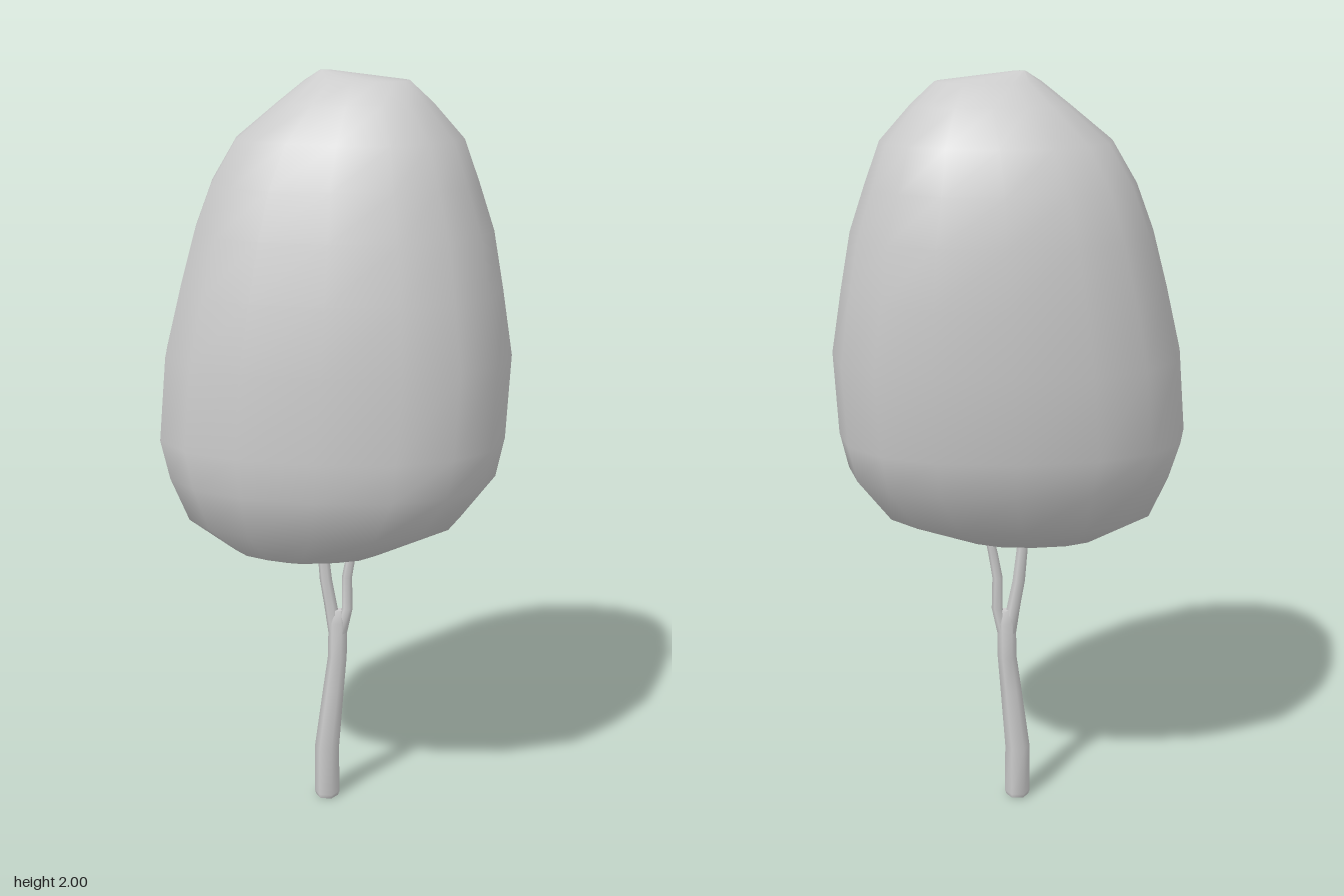
import * as THREE from 'three';

// Closed smooth skin over horizontal rings [y, xMin, xMax, zMin, zMax];
// power > 2 makes the rings squarer. A repeated ring gives a sharp rim.
function loft(name, rings, sides, power, material) {
  const pos = [], index = [];
  const soft = v => Math.sign(v) * Math.pow(Math.abs(v), 2 / power);
  for (const [y, x0, x1, z0, z1] of rings) {
    for (let i = 0; i < sides; i++) {
      const a = (i / sides) * Math.PI * 2;
      pos.push((x0 + x1) / 2 + (x1 - x0) / 2 * soft(Math.cos(a)), y,
        (z0 + z1) / 2 + (z1 - z0) / 2 * soft(Math.sin(a)));
    }
  }
  for (let r = 0; r < rings.length - 1; r++) {
    for (let i = 0; i < sides; i++) {
      const a = r * sides + i, b = r * sides + (i + 1) % sides;
      index.push(a, a + sides, b, b, a + sides, b + sides);
    }
  }
  // End caps
  const top = (rings.length - 1) * sides;
  for (let i = 1; i < sides - 1; i++) {
    index.push(0, i, i + 1, top, top + i + 1, top + i);
  }
  const geometry = new THREE.BufferGeometry();
  geometry.setAttribute('position', new THREE.Float32BufferAttribute(pos, 3));
  geometry.setIndex(index);
  geometry.computeVertexNormals();
  const mesh = new THREE.Mesh(geometry, material);
  mesh.name = name;
  return mesh;
}

// Tapered limb through points [x, y, z, radius], with flat ends
function limb(name, points, material) {
  const rings = points.map(([x, y, z, r]) => [y, x - r, x + r, z - r, z + r]);
  rings.unshift(rings[0]);
  rings.push(rings[rings.length - 1]);
  return loft(name, rings, 6, 2, material);
}

export function createModel() {
  const group = new THREE.Group();
  group.name = 'tree';
  const material = new THREE.MeshStandardMaterial({ color: 0xcccccc });

  // Egg-shaped crown, leaning slightly at top and bottom
  group.add(loft('crown', [
    [0.73, -0.14, -0.02, 0.05, 0.14],
    [0.76, -0.26, 0.14, -0.08, 0.22],
    [0.845, -0.39, 0.34, -0.23, 0.305],
    [0.96, -0.44, 0.43, -0.29, 0.35],
    [1.06, -0.468, 0.452, -0.325, 0.353],
    [1.28, -0.45, 0.464, -0.348, 0.355],
    [1.45, -0.41, 0.437, -0.345, 0.33],
    [1.6, -0.37, 0.41, -0.34, 0.305],
    [1.72, -0.325, 0.37, -0.31, 0.267],
    [1.83, -0.26, 0.33, -0.28, 0.23],
    [1.92, -0.15, 0.25, -0.2, 0.16],
    [1.975, -0.08, 0.19, -0.12, 0.09],
    [2.0, -0.04, -0.01, -0.03, 0.01],
  ], 16, 2.35, material));

  // Trunk with a slight bend, forking under the crown
  group.add(limb('trunk', [
    [-0.022, 0, 0, 0.031],
    [-0.022, 0.012, 0, 0.035],
    [-0.022, 0.15, 0, 0.034],
    [-0.004, 0.32, 0, 0.029],
    [0.007, 0.42, 0, 0.026],
    [0.008, 0.52, 0, 0.026],
    [0.01, 0.555, 0, 0.014],
  ], material));
  group.add(limb('rightBranch', [
    [0.003, 0.48, 0, 0.02],
    [-0.012, 0.57, 0, 0.018],
    [-0.025, 0.64, -0.002, 0.017],
    [-0.034, 0.73, -0.004, 0.015],
    [-0.04, 0.82, -0.005, 0.012],
  ], material));
  group.add(limb('leftBranch', [
    [0.014, 0.49, 0, 0.02],
    [0.034, 0.56, 0, 0.015],
    [0.033, 0.65, -0.002, 0.014],
    [0.045, 0.72, -0.004, 0.013],
    [0.062, 0.8, -0.006, 0.011],
  ], material));
  return group;
}
